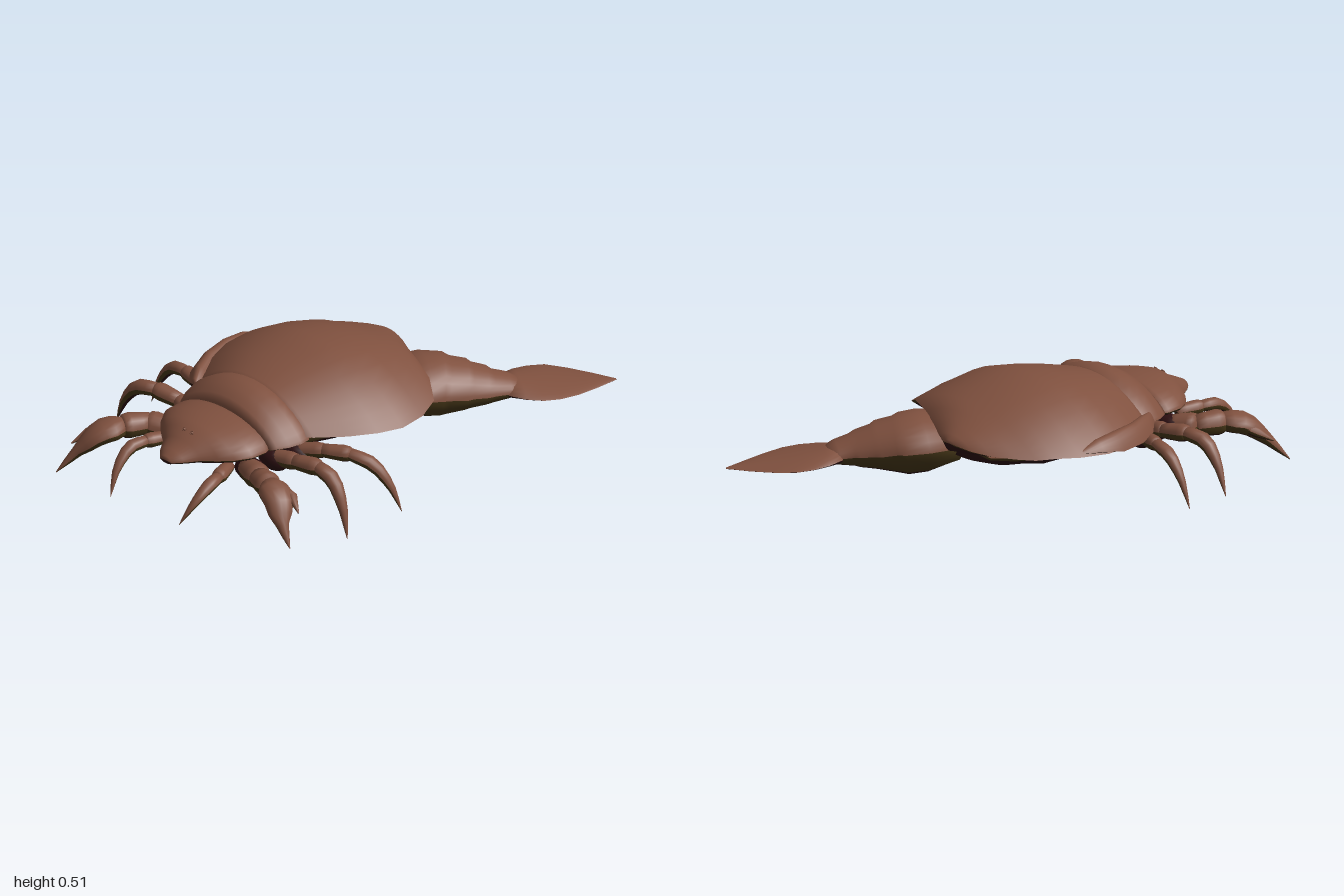
import * as THREE from 'three';

const mat = (name, color) => Object.assign(new THREE.MeshStandardMaterial({ color }), { name });

// Skin a body through cross-sections {p, w, up, down, tilt}. Material slots: top, lower sides, underside.
// k shapes the arch: 0.5 is round, 1 is a shallow dome. dir fixes the section normal.
// band is how many strips at each lower edge take the side material.
function loft(sections, { n = 12, e = 2, k = 0.5, dir = null, band = 1 } = {}) {
  const shrink = s => ({ ...s, w: s.w * 0.01, up: s.up * 0.01, down: s.down * 0.01, tilt: 0 });
  const last = sections.length - 1;
  const rings = [shrink(sections[0]), ...sections, shrink(sections[last])];
  const pos = [], slots = [[], [], []], Y = new THREE.Vector3(0, 1, 0);
  for (const half of [1, -1]) {
    const base = pos.length / 3;
    rings.forEach((s, i) => {
      const c = Math.min(Math.max(i - 1, 0), last);
      const t = dir ? dir.clone() : new THREE.Vector3(...sections[Math.min(c + 1, last)].p)
        .sub(new THREE.Vector3(...sections[Math.max(c - 1, 0)].p));
      t.normalize();
      const side = Y.clone().cross(t).normalize(), normal = t.clone().cross(side);
      for (let j = 0; j <= n; j++) {
        const u = -Math.cos(Math.PI * j / n);
        const arch = Math.pow(Math.max(0, 1 - Math.pow(Math.abs(u), e)), k);
        const v = new THREE.Vector3(...s.p).addScaledVector(side, u * s.w)
          .addScaledVector(normal, half * arch * (half > 0 ? s.up : s.down) + u * s.tilt);
        pos.push(v.x, v.y, v.z);
      }
    });
    for (let i = 0; i < rings.length - 1; i++) for (let j = 0; j < n; j++) {
      const a = base + i * (n + 1) + j, b = a + 1, d = a + n + 1, c = d + 1;
      if (half > 0) slots[0].push(a, d, c, a, c, b);
      else slots[j < band || j >= n - band ? 1 : 2].push(a, c, d, a, b, c);
    }
  }
  const geo = new THREE.BufferGeometry();
  geo.setAttribute('position', new THREE.Float32BufferAttribute(pos, 3));
  geo.setIndex(slots.flat());
  let start = 0;
  slots.forEach((list, slot) => {
    if (list.length) geo.addGroup(start, list.length, slot);
    start += list.length;
  });
  geo.computeVertexNormals();
  return geo;
}

const sec = (x, y, z, w, up, down = up, tilt = 0) => ({ p: [x, y, z], w, up, down, tilt });

export function createModel() {
  const model = new THREE.Group();
  model.name = 'shelledCreature';
  const shell = mat('shellBrown', 0x80513f);
  const under = mat('undersideOlive', 0x4a3a1a);
  const belly = mat('bellyMaroon', 0x2e1012);
  const Z = new THREE.Vector3(0, 0, 1);

  const add = (name, geo, mats = [shell, under, belly], parent = model) => {
    const mesh = new THREE.Mesh(geo, mats);
    mesh.name = name;
    parent.add(mesh);
    return mesh;
  };

  // Domed carapace whose rim lifts over the tail: z, left edge, right edge, rim height, crown height, rim tilt
  const carapace = [
    [-0.42, -0.07, 0.0, 0.335, 0.35, 0], [-0.40, -0.15, 0.05, 0.335, 0.367, 0.01], [-0.36, -0.22, 0.12, 0.335, 0.388, 0.02],
    [-0.30, -0.30, 0.24, 0.34, 0.417, 0.03], [-0.24, -0.355, 0.37, 0.335, 0.445, 0.03], [-0.18, -0.40, 0.46, 0.315, 0.468, 0.005],
    [-0.08, -0.45, 0.50, 0.305, 0.495, 0], [0.04, -0.48, 0.51, 0.30, 0.515, 0], [0.14, -0.475, 0.475, 0.30, 0.502, 0],
    [0.25, -0.43, 0.41, 0.30, 0.478, 0], [0.36, -0.34, 0.33, 0.305, 0.447, 0], [0.42, -0.28, 0.28, 0.31, 0.42, 0],
  ].map(([z, a, b, rim, top, tilt]) => sec((a + b) / 2, rim, z, (b - a) / 2, top - rim, 0.03, tilt));
  add('carapace', loft(carapace, { n: 18, e: 2.2, k: 1, dir: Z, band: 2 }));

  // Folded flange along one edge of the carapace
  add('carapaceFlange', loft([
    sec(-0.425, 0.315, -0.06, 0.02, 0.01), sec(-0.43, 0.312, 0.02, 0.048, 0.04, 0.015),
    sec(-0.435, 0.31, 0.12, 0.05, 0.05, 0.015, 0.018), sec(-0.41, 0.308, 0.24, 0.05, 0.05, 0.015, 0.018),
    sec(-0.36, 0.308, 0.34, 0.05, 0.045, 0.015, 0.012), sec(-0.31, 0.308, 0.41, 0.03, 0.03, 0.015),
  ], { k: 1, dir: Z }));

  // Collar plate between carapace and head
  add('collar', loft([
    sec(0, 0.30, 0.355, 0.30, 0.125, 0.04), sec(0, 0.295, 0.375, 0.315, 0.15, 0.05),
    sec(0, 0.295, 0.42, 0.32, 0.157, 0.06), sec(0, 0.292, 0.47, 0.305, 0.148, 0.06),
    sec(0, 0.29, 0.515, 0.28, 0.125, 0.06), sec(0, 0.287, 0.538, 0.262, 0.1, 0.05),
  ], { n: 16, k: 0.8, dir: Z }));

  // Head with a heavy brow and a short rounded snout
  add('head', loft([
    sec(0, 0.285, 0.50, 0.24, 0.09, 0.04), sec(0, 0.285, 0.56, 0.26, 0.092, 0.05),
    sec(0, 0.285, 0.63, 0.255, 0.09, 0.05), sec(0, 0.28, 0.69, 0.215, 0.086, 0.045),
    sec(0, 0.275, 0.735, 0.165, 0.08, 0.04), sec(0, 0.27, 0.775, 0.11, 0.055, 0.03),
    sec(0, 0.267, 0.83, 0.07, 0.033, 0.02), sec(0, 0.263, 0.865, 0.035, 0.02, 0.012),
  ], { n: 16, k: 0.6, dir: Z }));

  // Small eyes, each ringed by a low lid
  for (const s of [1, -1]) {
    const eye = add('eye', new THREE.SphereGeometry(0.005, 10, 8), shell);
    const lid = add('eyelid', new THREE.TorusGeometry(0.008, 0.002, 6, 14), shell);
    for (const part of [eye, lid]) part.position.set(s * 0.022, 0.35, 0.742);
    lid.rotation.x = -0.7;
  }

  // Segmented belly running from the tail to under the head
  const ribs = [];
  for (let i = 0; i <= 14; i++) {
    const t = i / 14, round = Math.sqrt(Math.sin(Math.PI * (0.06 + 0.88 * t)));
    ribs.push(sec(0.01, 0.285, -0.32 + t * 1.06, (0.42 - 0.2 * t) * round, 0.01, (i % 2 ? 0.115 : 0.1) * round));
  }
  add('belly', loft(ribs, { n: 14, dir: Z }));

  // Tail base: overlapping segments narrowing toward the fluke
  add('tail', loft([
    sec(0.18, 0.27, -0.22, 0.18, 0.09, 0.10), sec(0.235, 0.26, -0.33, 0.18, 0.113, 0.13),
    sec(0.275, 0.25, -0.39, 0.165, 0.115, 0.13), sec(0.295, 0.245, -0.41, 0.15, 0.105, 0.12),
    sec(0.335, 0.235, -0.465, 0.138, 0.1, 0.095), sec(0.35, 0.23, -0.485, 0.12, 0.09, 0.085),
    sec(0.385, 0.225, -0.535, 0.11, 0.075, 0.07), sec(0.40, 0.22, -0.555, 0.092, 0.065, 0.06),
    sec(0.43, 0.215, -0.61, 0.082, 0.05, 0.045), sec(0.45, 0.21, -0.65, 0.06, 0.03, 0.03),
  ], { n: 14, k: 0.6, band: 4 }));

  // Flat leaf-shaped fluke
  add('tailFluke', loft([
    sec(0.425, 0.212, -0.60, 0.085, 0.04, 0.035), sec(0.455, 0.21, -0.655, 0.13, 0.032, 0.03),
    sec(0.488, 0.205, -0.715, 0.15, 0.026, 0.025), sec(0.52, 0.20, -0.78, 0.148, 0.02, 0.02),
    sec(0.562, 0.193, -0.85, 0.115, 0.015, 0.015), sec(0.607, 0.187, -0.925, 0.065, 0.01, 0.01),
    sec(0.655, 0.182, -1.0, 0.006, 0.003, 0.003),
  ], { n: 10, k: 0.8, dir: new THREE.Vector3(0.5, -0.05, -0.86), band: 0 }));

  // Jointed limb: upper segments that flare slightly at each joint, then a curved pointed claw
  function limb(name, joints, claw, r, clawWidth = 1) {
    const group = new THREE.Group();
    group.name = name;
    const limbLoft = rows => loft(rows, { n: 8, band: 2 });
    for (let i = 0; i < joints.length - 1; i++) {
      const a = new THREE.Vector3(...joints[i]), b = new THREE.Vector3(...joints[i + 1]);
      const rows = [[0, 0.9], [0.35, 1], [0.8, 1.1], [1, 1], [1.1, 0.75]].map(([t, f]) => {
        const p = a.clone().lerp(b, t), q = r * f;
        return sec(p.x, p.y, p.z, q, q * 0.95);
      });
      add('limbSegment', limbLoft(rows), undefined, group);
    }
    const curve = new THREE.CatmullRomCurve3([joints.at(-1), ...claw].map(p => new THREE.Vector3(...p)));
    const rows = [0.85, 0.95, 0.98, 0.88, 0.72, 0.52, 0.3, 0.04].map((f, i) => {
      const p = curve.getPoint(i / 7), flare = i > 0 && i < 5 ? clawWidth : 1;
      return sec(p.x, p.y, p.z, r * f * flare, r * f * 0.9);
    });
    add('limbClaw', limbLoft(rows), undefined, group);
    model.add(group);
  }

  // Walking legs
  limb('leftRearLeg', [[0.26, 0.24, 0.40], [0.37, 0.26, 0.35], [0.47, 0.265, 0.30]],
    [[0.56, 0.235, 0.255], [0.625, 0.15, 0.22], [0.665, 0.04, 0.195]], 0.032);
  limb('rightRearLeg', [[-0.24, 0.24, 0.39], [-0.36, 0.265, 0.335], [-0.46, 0.27, 0.31]],
    [[-0.55, 0.25, 0.30], [-0.62, 0.17, 0.30], [-0.668, 0.05, 0.305]], 0.03);
  limb('leftMiddleLeg', [[0.22, 0.23, 0.49], [0.34, 0.245, 0.475], [0.45, 0.255, 0.455]],
    [[0.53, 0.23, 0.45], [0.595, 0.13, 0.455], [0.632, 0.005, 0.465]], 0.035);
  limb('rightMiddleLeg', [[-0.22, 0.23, 0.48], [-0.33, 0.25, 0.47], [-0.44, 0.265, 0.49]],
    [[-0.53, 0.25, 0.51], [-0.60, 0.17, 0.515], [-0.655, 0.05, 0.51]], 0.035);

  // Broad grasping forelimbs
  limb('leftForelimb', [[0.20, 0.21, 0.60], [0.31, 0.225, 0.645], [0.40, 0.235, 0.675]],
    [[0.48, 0.225, 0.705], [0.54, 0.15, 0.74], [0.603, 0.06, 0.755]], 0.05, 1.35);
  limb('rightForelimb', [[-0.22, 0.21, 0.60], [-0.32, 0.225, 0.65], [-0.365, 0.23, 0.75]],
    [[-0.41, 0.215, 0.83], [-0.455, 0.15, 0.90], [-0.51, 0.05, 0.985]], 0.05, 1.45);
  // Side prongs on the forelimbs
  add('leftProng', loft([sec(0.44, 0.235, 0.665, 0.03, 0.025), sec(0.52, 0.225, 0.66, 0.022, 0.02),
    sec(0.585, 0.19, 0.69, 0.003, 0.003)], { n: 6 }));
  add('rightProng', loft([sec(-0.42, 0.225, 0.79, 0.03, 0.025), sec(-0.475, 0.19, 0.84, 0.022, 0.02),
    sec(-0.51, 0.15, 0.90, 0.003, 0.003)], { n: 6 }));

  // Slim feelers either side of the snout
  limb('leftFeeler', [[0.17, 0.235, 0.68], [0.215, 0.24, 0.78]],
    [[0.238, 0.235, 0.86], [0.235, 0.18, 0.94], [0.208, 0.10, 0.99]], 0.029);
  limb('rightFeeler', [[-0.17, 0.235, 0.68], [-0.20, 0.24, 0.78]],
    [[-0.212, 0.235, 0.86], [-0.205, 0.17, 0.94], [-0.187, 0.07, 0.992]], 0.029);

  // Rounded hips where the limbs meet the belly
  for (const s of [1, -1]) for (const [x, y, z, r] of [[0.26, 0.225, 0.40, 0.055], [0.23, 0.22, 0.49, 0.055], [0.22, 0.205, 0.60, 0.062]]) {
    const hip = add('hip', new THREE.SphereGeometry(r, 10, 8), belly);
    hip.position.set(s * x, y, z);
    hip.scale.set(1.4, 0.85, 0.8);
  }
  return model;
}
